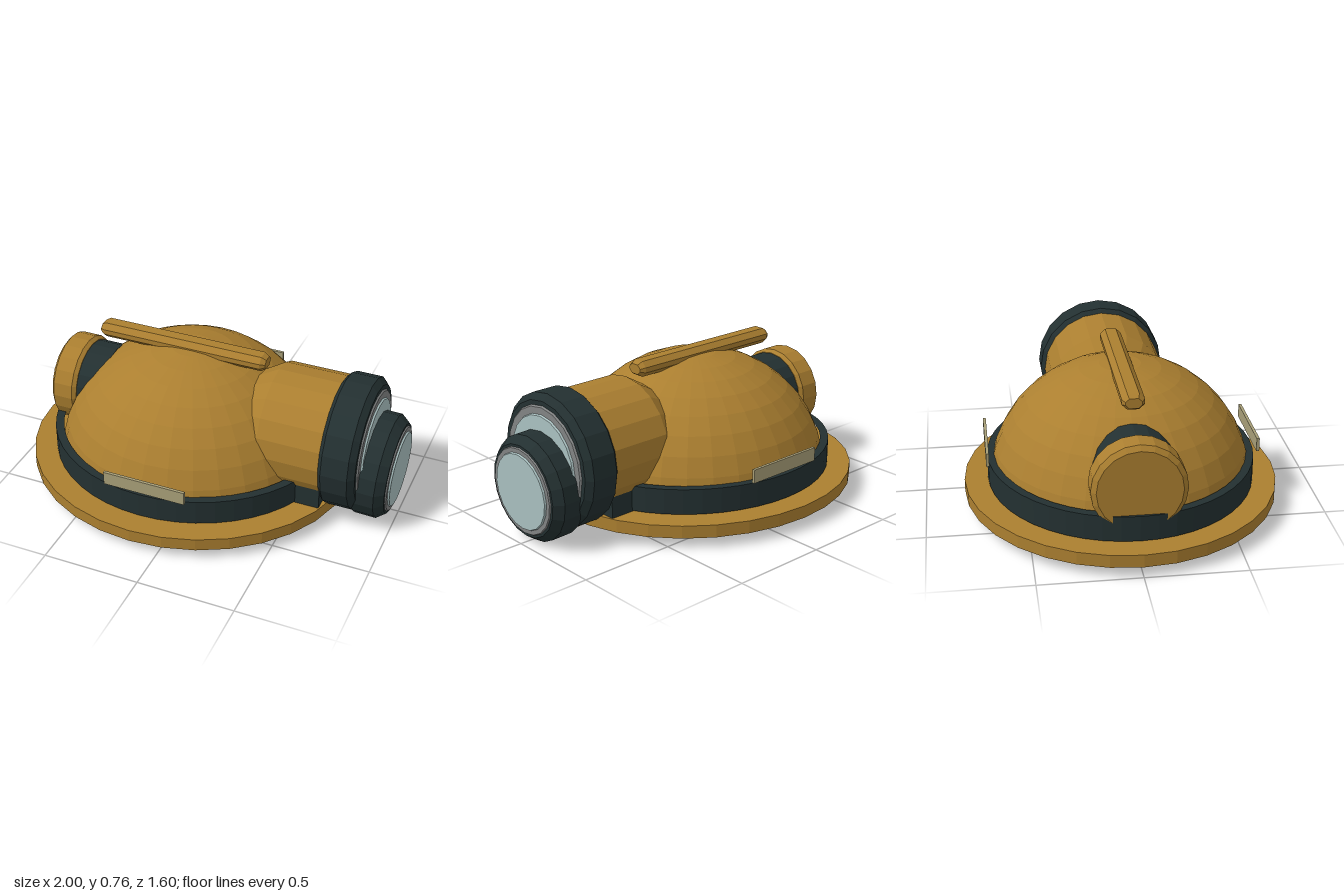
import * as THREE from 'three';

const mat = (name, color, side = THREE.FrontSide) => {
  const m = new THREE.MeshStandardMaterial({ color, side });
  m.name = name;
  return m;
};

// Faceted normals for the low-poly look
const facet = (geo) => {
  const g = geo.index ? geo.toNonIndexed() : geo;
  g.computeVertexNormals();
  return g;
};

// Turned part about the y axis from [radius, height] pairs, bottom to top
const turned = (pts, sides) =>
  new THREE.LatheGeometry(pts.map(([r, y]) => new THREE.Vector2(r, y)), sides);

export function createModel() {
  const amber = mat('amber', 0xab7f30, THREE.DoubleSide);
  const dark = mat('dark rubber', 0x233031);
  const glass = mat('pale glass', 0xaac1c1);
  const metal = mat('grey metal', 0x828484);
  const beige = mat('beige', 0xa89f78);

  const model = new THREE.Group();
  const add = (parent, name, geo, material, x = 0, y = 0, z = 0) => {
    const mesh = new THREE.Mesh(facet(geo), material);
    mesh.name = name;
    mesh.position.set(x, y, z);
    parent.add(mesh);
    return mesh;
  };
  // Turned part lying along x, from [x, radius] pairs
  const barrel = (parent, name, pts, material) =>
    add(parent, name, turned(pts.map(([x, r]) => [r, x]), 20).rotateZ(-Math.PI / 2), material);

  // Helmet shell: hollow dome, flat brim and band
  const helmet = new THREE.Group();
  helmet.name = 'helmet';
  helmet.position.x = -0.14;
  model.add(helmet);

  const domePts = [[1, -0.05]];
  for (let i = 0; i <= 10; i++) {
    const a = (i / 10) * Math.PI / 2;
    domePts.push([i === 10 ? 0 : Math.cos(a), Math.sin(a)]);
  }
  add(helmet, 'dome', turned(domePts, 32).scale(0.7, 0.64, 0.67), amber, 0, 0.1);
  add(helmet, 'brim', turned(
    [[0.81, 0.065], [1, 0.065], [1, 0.13], [0.81, 0.13], [0.81, 0.065]], 32,
  ).scale(0.86, 1, 0.8), amber);
  add(helmet, 'band', turned(
    [[0.955, 0.135], [1, 0.135], [1, 0.265], [0.94, 0.265]], 48,
  ).scale(0.74, 1, 0.68), dark);

  // Ridge bar along the crown, octagonal with bevelled ends
  const w = 0.04, h = 0.025, c = 0.018;
  const oct = new THREE.Shape([
    [w, -h + c], [w, h - c], [w - c, h], [-w + c, h],
    [-w, h - c], [-w, -h + c], [-w + c, -h], [w - c, -h],
  ].map(([x, y]) => new THREE.Vector2(x, y)));
  const bar = new THREE.ExtrudeGeometry(oct, {
    depth: 0.86, bevelEnabled: true, bevelSegments: 1, bevelSize: 0.015, bevelThickness: 0.025,
  });
  bar.translate(0, 0, -0.43).rotateY(Math.PI / 2);
  add(model, 'ridgeBar', bar, amber, -0.187, 0.73);

  // Side plates
  for (const s of [1, -1]) {
    add(model, s > 0 ? 'frontPlate' : 'backPlate',
      new THREE.BoxGeometry(0.43, 0.07, 0.015), beige, -0.105, 0.32, s * 0.682);
  }

  // Bracket joining band and lamps
  add(model, 'bracket', new THREE.BoxGeometry(0.16, 0.115, 0.56), dark, 0.578, 0.188);

  // Large lamp running through the dome
  const large = new THREE.Group();
  large.name = 'largeLamp';
  large.position.y = 0.387;
  model.add(large);
  barrel(large, 'tailCap', [[-0.865, 0], [-0.865, 0.205], [-0.845, 0.23], [-0.74, 0.23],
    [-0.72, 0.215], [-0.72, 0]], amber);
  const grip = [[-0.73, 0.212], [-0.58, 0.212]];
  for (let i = 0; i < 8; i++) {
    const x = -0.58 + i * 0.09;
    grip.push([x + 0.01, 0.18], [x + 0.03, 0.18], [x + 0.045, 0.205], [x + 0.075, 0.205]);
  }
  grip.push([0.16, 0.18], [0.2, 0.18]);
  barrel(large, 'ribbedGrip', grip, dark);
  barrel(large, 'lampBody', [[0.12, 0.18], [0.16, 0.22], [0.33, 0.32], [0.66, 0.32]], amber);
  barrel(large, 'lampRim', [[0.655, 0], [0.655, 0.32], [0.675, 0.342], [0.81, 0.342],
    [0.84, 0.31], [0.84, 0]], dark);
  barrel(large, 'lampBezel', [[0.84, 0.287], [0.848, 0.28], [0.848, 0]], metal);
  barrel(large, 'lampGlass', [[0.848, 0.245], [0.857, 0.24], [0.857, 0]], glass);

  // Small lamp under it, tipped slightly down
  const small = new THREE.Group();
  small.name = 'smallLamp';
  small.position.set(0.8, 0.283, 0);
  small.rotation.z = -0.03;
  model.add(small);
  barrel(small, 'lampBody', [[-0.5, 0], [-0.5, 0.15], [-0.2, 0.255], [0.02, 0.255]], amber);
  barrel(small, 'lampRim', [[0.01, 0], [0.01, 0.26], [0.02, 0.27], [0.13, 0.27],
    [0.175, 0.235], [0.175, 0]], dark);
  barrel(small, 'lampBezel', [[0.175, 0.222], [0.182, 0.218], [0.182, 0]], metal);
  barrel(small, 'lampGlass', [[0.182, 0.196], [0.191, 0.192], [0.191, 0]], glass);

  return model;
}
